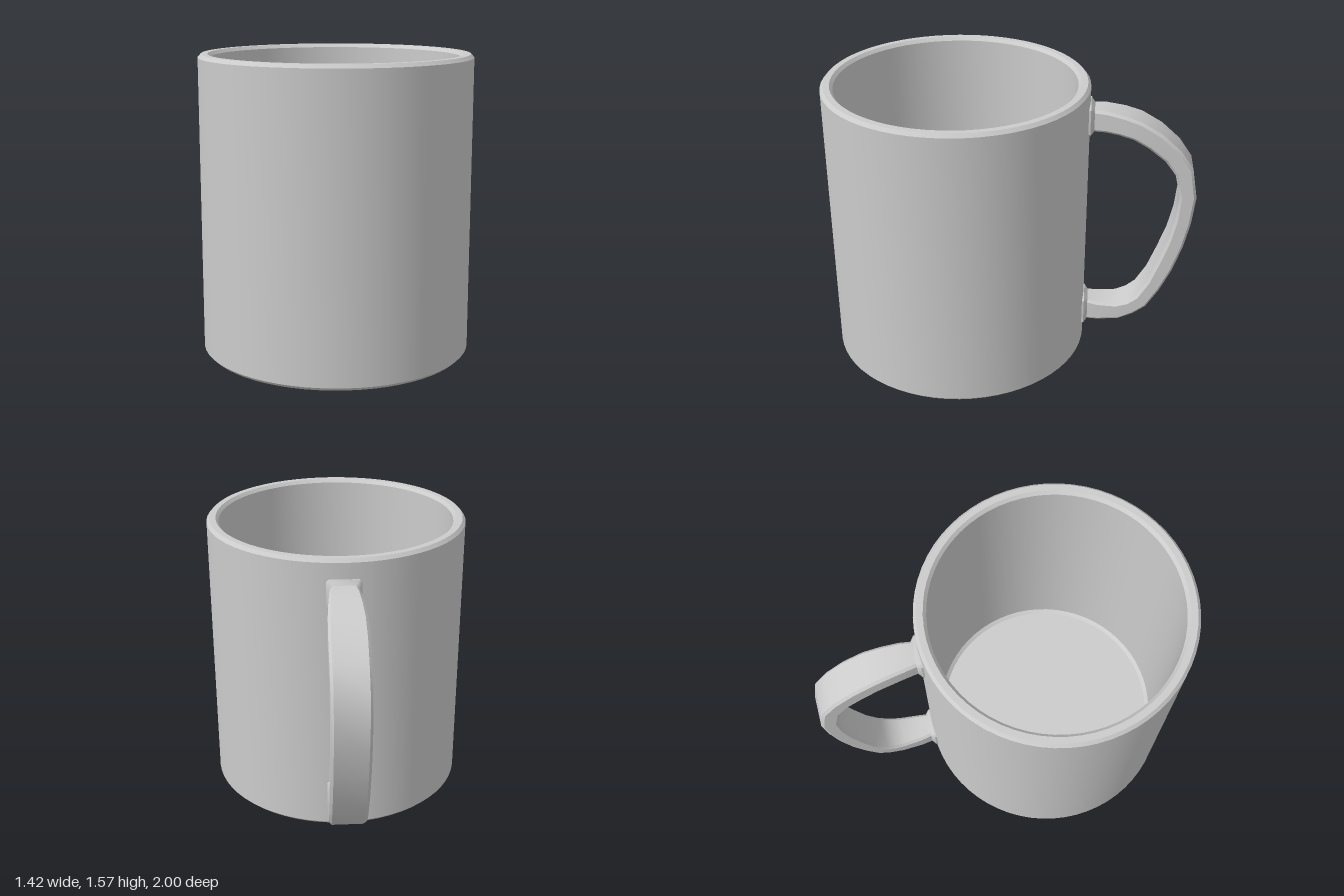
import * as THREE from 'three';
import { toCreasedNormals } from 'three/addons/utils/BufferGeometryUtils.js';

const grey = new THREE.MeshStandardMaterial({ color: 0xcccccc });

function addMesh(group, geometry, name) {
  const mesh = new THREE.Mesh(toCreasedNormals(geometry, 0.58), grey);
  mesh.name = name;
  group.add(mesh);
  return mesh;
}

// Hollow body: recessed base, outer wall, chamfered rim, inner wall, floor
function cupGeometry() {
  const profile = [
    [0, 0.03], [0.62, 0.03], [0.64, 0], [0.69, 0], [0.708, 0.018],
    [0.708, 1.547], [0.692, 1.565], [0.658, 1.565], [0.642, 1.547],
    [0.642, 0.09], [0.622, 0.07], [0, 0.07],
  ].map(([r, y]) => new THREE.Vector2(r, y));
  return new THREE.LatheGeometry(profile, 64);
}

// Handle stations: outer z, outer y, inner z, inner y, half width
const stations = [
  [-0.39, 1.46, -0.39, 1.295, 0.09],
  [-0.42, 1.46, -0.42, 1.295, 0.09],
  [-0.44, 1.437, -0.44, 1.315, 0.07],
  [-0.5, 1.435, -0.5, 1.316, 0.08],
  [-0.6, 1.415, -0.57, 1.307, 0.09],
  [-0.69, 1.385, -0.65, 1.285, 0.097],
  [-0.8, 1.32, -0.73, 1.24, 0.1],
  [-0.9, 1.23, -0.82, 1.17, 0.1],
  [-0.97, 1.13, -0.88, 1.09, 0.1],
  [-1.0, 0.96, -0.91, 0.96, 0.1],
  [-0.983, 0.8, -0.897, 0.82, 0.1],
  [-0.95, 0.65, -0.868, 0.69, 0.1],
  [-0.9, 0.5, -0.82, 0.55, 0.1],
  [-0.84, 0.37, -0.77, 0.42, 0.1],
  [-0.77, 0.255, -0.71, 0.32, 0.1],
  [-0.7, 0.2, -0.66, 0.28, 0.097],
  [-0.62, 0.157, -0.6, 0.257, 0.09],
  [-0.5, 0.139, -0.5, 0.255, 0.08],
  [-0.44, 0.135, -0.44, 0.263, 0.07],
  [-0.42, 0.113, -0.42, 0.283, 0.09],
  [-0.39, 0.113, -0.39, 0.283, 0.09],
];

// Sweeps a chamfered rectangle through the stations
function handleGeometry() {
  const chamfer = 0.014;
  const positions = [];
  const index = [];
  for (const [oz, oy, iz, iy, w] of stations) {
    const t = chamfer / Math.hypot(oz - iz, oy - iy);
    const n = w - chamfer;
    // Each corner: x, then fraction from the outer to the inner edge
    const ring = [[n, 0], [w, t], [w, 1 - t], [n, 1], [-n, 1], [-w, 1 - t], [-w, t], [-n, 0]];
    for (const [x, f] of ring) positions.push(x, oy + (iy - oy) * f, oz + (iz - oz) * f);
  }
  for (let s = 0; s < stations.length - 1; s++) {
    for (let k = 0; k < 8; k++) {
      const a = s * 8 + k, b = s * 8 + (k + 1) % 8;
      index.push(a, b, a + 8, b, b + 8, a + 8);
    }
  }
  const geometry = new THREE.BufferGeometry();
  geometry.setAttribute('position', new THREE.Float32BufferAttribute(positions, 3));
  geometry.setIndex(index);
  return geometry;
}

export function createModel() {
  const group = new THREE.Group();
  group.name = 'mug';
  addMesh(group, cupGeometry(), 'cup').position.z = 0.292;
  addMesh(group, handleGeometry(), 'handle');
  return group;
}
